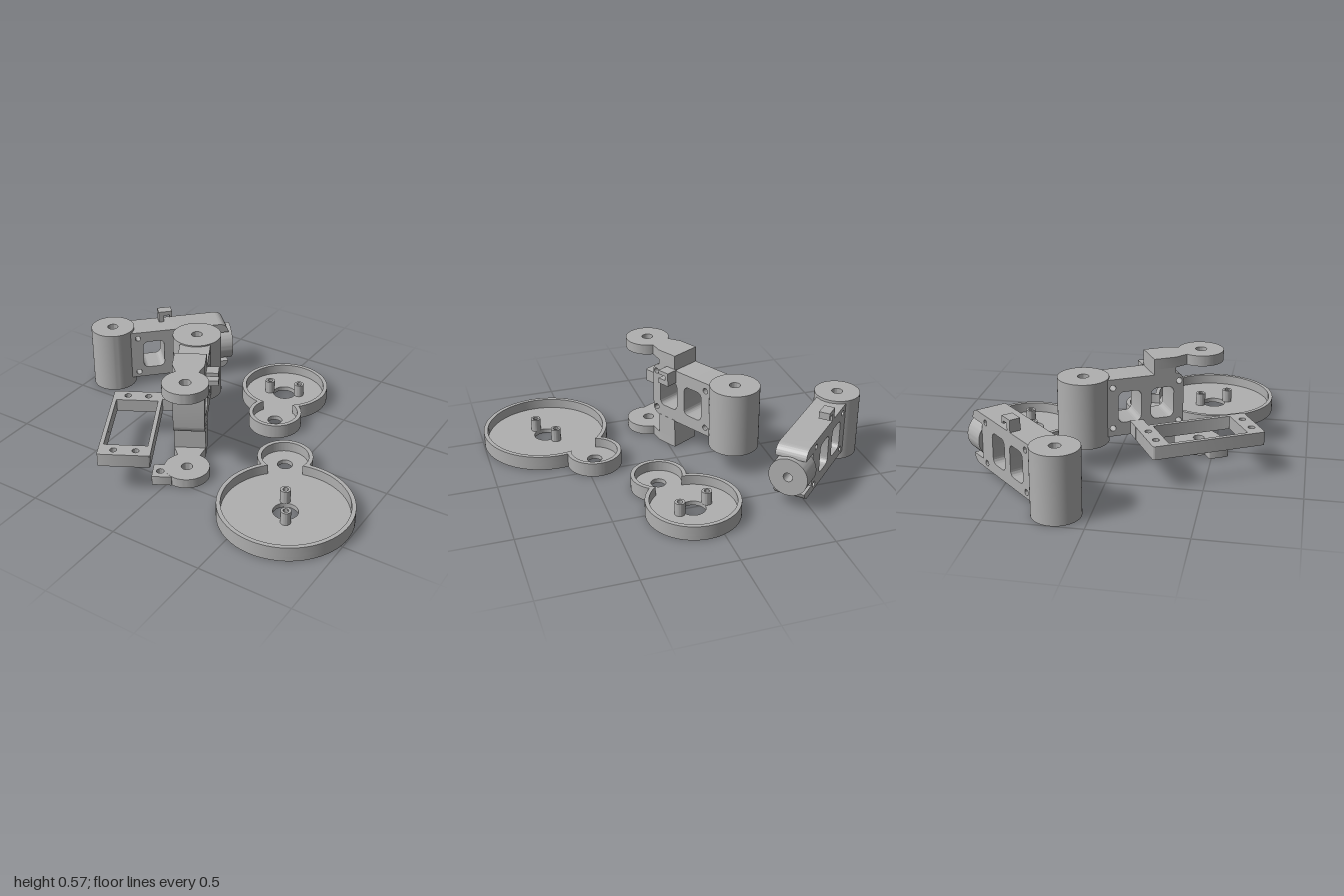
import * as THREE from 'three';
import { toCreasedNormals } from 'three/addons/utils/BufferGeometryUtils.js';

const plastic = new THREE.MeshStandardMaterial({ color: 0xb0b0b0 });
plastic.name = 'grey plastic';

function add(parent, name, geometry) {
  const m = new THREE.Mesh(geometry, plastic);
  m.name = name;
  parent.add(m);
  return m;
}

function block(parent, name, x0, x1, y0, y1, z0, z1) {
  const m = add(parent, name, new THREE.BoxGeometry(x1 - x0, y1 - y0, z1 - z0));
  m.position.set((x0 + x1) / 2, (y0 + y1) / 2, (z0 + z1) / 2);
  return m;
}

const circle = (x, y, r) => new THREE.Path().absarc(x, y, r, 0, Math.PI * 2, false);

function disc(x, y, r, hole) {
  const s = new THREE.Shape().absarc(x, y, r, 0, Math.PI * 2, false);
  if (hole) s.holes.push(circle(x, y, hole));
  return s;
}

function roundRect(path, x0, x1, y0, y1, r) {
  path.moveTo(x0 + r, y0).lineTo(x1 - r, y0);
  path.absarc(x1 - r, y0 + r, r, -Math.PI / 2, 0, false);
  path.absarc(x1 - r, y1 - r, r, 0, Math.PI / 2, false);
  path.absarc(x0 + r, y1 - r, r, Math.PI / 2, Math.PI, false);
  path.absarc(x0 + r, y0 + r, r, Math.PI, Math.PI * 1.5, false);
  return path;
}

const extrude = (shape, depth) => toCreasedNormals(
  new THREE.ExtrudeGeometry(shape, { depth, bevelEnabled: false, curveSegments: 40 }), 0.5);

// Horizontal slab: shape coordinates are x and z
function slab(parent, name, shape, y0, y1) {
  const g = extrude(shape, y1 - y0);
  g.rotateX(Math.PI / 2).translate(0, y1, 0);
  return add(parent, name, g);
}

// Outline of two overlapping circles
function twoCircles(path, a, b, ra, rb) {
  const d = Math.hypot(b[0] - a[0], b[1] - a[1]);
  const f = Math.atan2(b[1] - a[1], b[0] - a[0]);
  const p = Math.acos((ra * ra + d * d - rb * rb) / (2 * ra * d));
  const q = Math.acos((rb * rb + d * d - ra * ra) / (2 * rb * d));
  path.absarc(a[0], a[1], ra, f + p, f - p + Math.PI * 2, false);
  path.absarc(b[0], b[1], rb, f - Math.PI + q, f + Math.PI - q, false);
  path.closePath();
  return path;
}

// Shallow two-lobed tray with hollow posts
function tray(name, a, ra, b, rb, posts) {
  const g = new THREE.Group();
  g.name = name;
  const wall = 0.022;
  const floor = twoCircles(new THREE.Shape(), a, b, ra, rb);
  floor.holes.push(circle(a[0], a[1], 0.065), circle(b[0], b[1], 0.04));
  for (const p of posts) floor.holes.push(circle(p[0], p[1], 0.014));
  slab(g, 'trayFloor', floor, 0, 0.025);
  const rim = twoCircles(new THREE.Shape(), a, b, ra, rb);
  rim.holes.push(twoCircles(new THREE.Path(), a, b, ra - wall, rb - wall));
  slab(g, 'trayRim', rim, 0.025, 0.08);
  for (const p of posts) slab(g, 'trayPost', disc(p[0], p[1], 0.027, 0.014), 0.025, 0.097);
  return g;
}

// Vertical arm plate with two windows and screw holes
function armBody(parent, shape, yMid, screwEnd) {
  for (const [x0, x1] of [[0.165, 0.29], [0.345, 0.47]])
    shape.holes.push(roundRect(new THREE.Path(), x0, x1, yMid - 0.085, yMid + 0.085, 0.03));
  for (const x of [0.135, screwEnd])
    for (const s of [-1, 1]) shape.holes.push(circle(x, yMid + s * 0.112, 0.016));
  add(parent, 'armBody', extrude(shape, 0.168).translate(0, 0, -0.084));
}

function hubArm() {
  const g = new THREE.Group();
  g.name = 'hubArm';
  slab(g, 'pivotCylinder', disc(0, 0, 0.125, 0.03), 0, 0.36);
  // forked plate, notched for the hub
  const s = new THREE.Shape();
  s.moveTo(0.08, 0.05).lineTo(0.625, 0.05);
  s.absarc(0.625, 0.105, 0.055, -Math.PI / 2, -0.2, false);
  s.lineTo(0.58, 0.095).lineTo(0.58, 0.29).lineTo(0.679, 0.29);
  s.absarc(0.625, 0.29, 0.055, 0, Math.PI / 2, false);
  s.lineTo(0.08, 0.345);
  s.closePath();
  armBody(g, s, 0.195, 0.54);
  const hub = slab(g, 'endHub', disc(0, 0, 0.106, 0.025), 0, 0.125);
  hub.rotation.z = -Math.PI / 2;
  hub.position.set(0.58, 0.192, 0);
  // hooked cable clip
  block(g, 'clipLeg', 0.28, 0.31, 0.34, 0.41, -0.084, -0.025);
  block(g, 'clipCap', 0.28, 0.36, 0.385, 0.41, -0.084, -0.025);
  block(g, 'clipLip', 0.345, 0.36, 0.37, 0.39, -0.084, -0.025);
  return g;
}

function forkArm() {
  const g = new THREE.Group();
  g.name = 'forkArm';
  slab(g, 'pivotCylinder', disc(0, 0, 0.135, 0.03), 0.13, 0.487);
  const s = new THREE.Shape();
  s.moveTo(0.08, 0.165).lineTo(0.475, 0.165);
  s.absarc(0.475, 0.215, 0.05, -Math.PI / 2, 0, false);
  s.absarc(0.475, 0.43, 0.05, 0, Math.PI / 2, false);
  s.lineTo(0.08, 0.48);
  s.closePath();
  armBody(g, s, 0.322, 0.5);
  // upper and lower fork plates
  for (const [name, y0, y1] of [['upperFork', 0.51, 0.567], ['lowerFork', 0, 0.053]]) {
    const p = new THREE.Shape();
    p.moveTo(0.36, -0.085).lineTo(0.48, -0.085).lineTo(0.55, -0.06);
    p.absarc(0.654, 0, 0.12, -Math.PI * 5 / 6, Math.PI * 5 / 6, false);
    p.lineTo(0.48, 0.085).lineTo(0.36, 0.085);
    p.closePath();
    p.holes.push(circle(0.654, 0, 0.03));
    slab(g, name, p, y0, y1);
  }
  block(g, 'upperRiser', 0.36, 0.48, 0.475, 0.512, -0.085, 0.085);
  block(g, 'lowerRiser', 0.36, 0.48, 0.052, 0.17, -0.085, 0.085);
  const tab = roundRect(new THREE.Shape(), 0.645, 0.755, 0.07, 0.175, 0.005);
  tab.holes.push(circle(0.704, 0.135, 0.02));
  slab(g, 'lowerTab', tab, 0, 0.052);
  // side cable clip
  block(g, 'clipLeg', 0.35, 0.42, 0.41, 0.44, -0.15, -0.08);
  block(g, 'clipPost', 0.35, 0.37, 0.41, 0.487, -0.15, -0.08);
  block(g, 'clipLip', 0.37, 0.42, 0.465, 0.487, -0.15, -0.08);
  return g;
}

// Rectangular mounting frame beside the fork arm
function mountingFrame() {
  const g = new THREE.Group();
  g.name = 'mountingFrame';
  const s = roundRect(new THREE.Shape(), 0.23, 0.84, 0.165, 0.437, 0.012);
  s.holes.push(roundRect(new THREE.Path(), 0.32, 0.75, 0.187, 0.415, 0.003));
  for (const x of [0.273, 0.797])
    for (const z of [0.244, 0.358]) s.holes.push(circle(x, z, 0.018));
  slab(g, 'frame', s, 0.168, 0.24);
  block(g, 'frameLink', 0.23, 0.3, 0.168, 0.24, 0.08, 0.17);
  return g;
}

export function createModel() {
  const model = new THREE.Group();
  model.name = 'printedParts';

  const first = hubArm();
  first.position.set(-0.875, 0, -0.165);
  first.rotation.y = Math.PI / 4;

  const second = new THREE.Group();
  second.name = 'forkAssembly';
  second.add(forkArm(), mountingFrame());
  second.position.set(-0.273, 0, -0.16);
  second.rotation.y = -1.071;

  model.add(first, second,
    tray('largeTray', [0.648, 0.435], 0.348, [0.447, 0.088], 0.148, [[0.604, 0.361], [0.69, 0.51]]),
    tray('smallTray', [0.085, -0.543], 0.248, [0.185, -0.258], 0.147, [[0.003, -0.515], [0.166, -0.57]]));
  return model;
}
